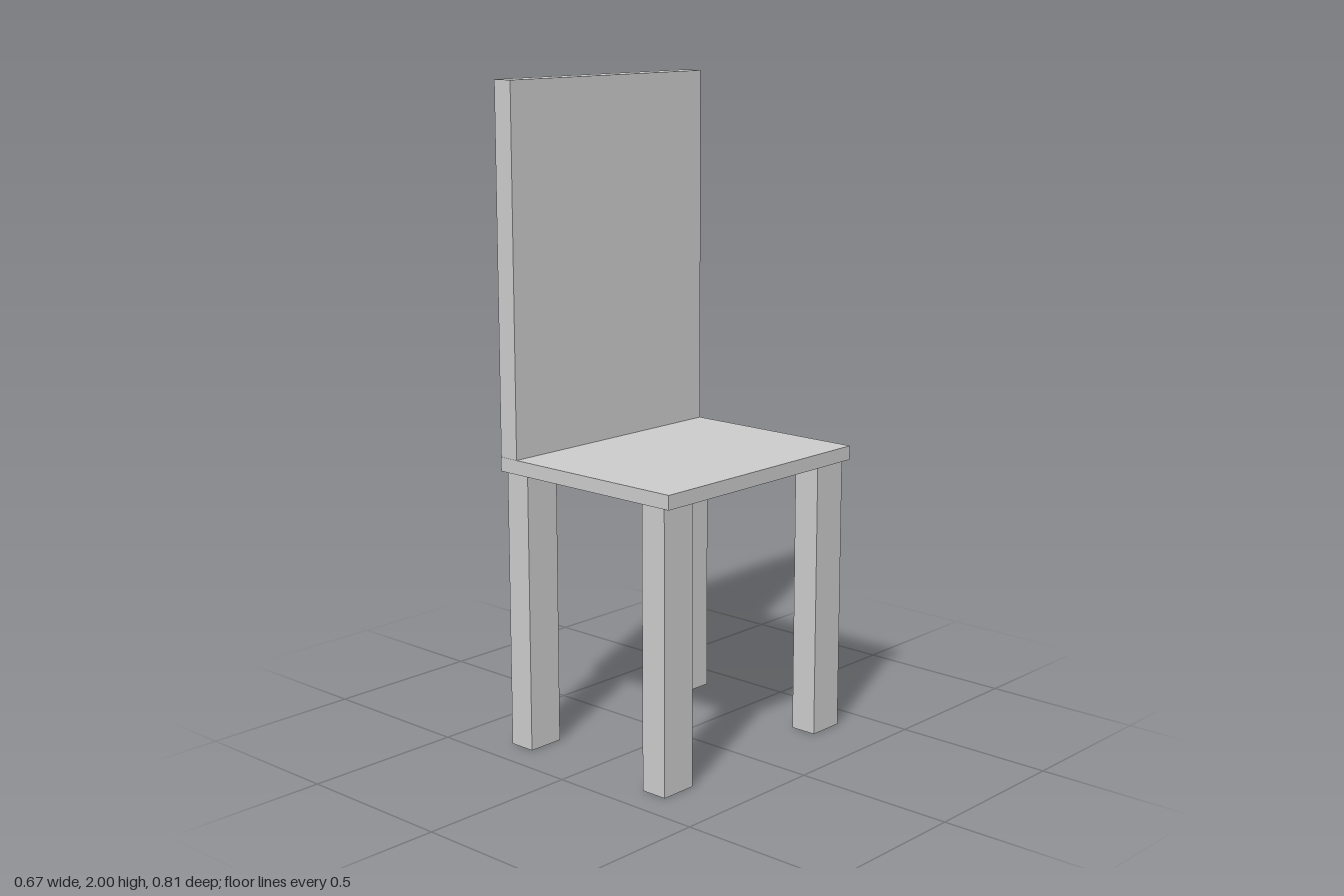
import * as THREE from 'three';

const material = new THREE.MeshStandardMaterial({ color: 0xcccccc, flatShading: true });

// Box given by its extents along each axis
function block(name, [x0, x1], [y0, y1], [z0, z1]) {
  const mesh = new THREE.Mesh(new THREE.BoxGeometry(x1 - x0, y1 - y0, z1 - z0), material);
  mesh.position.set((x0 + x1) / 2, (y0 + y1) / 2, (z0 + z1) / 2);
  mesh.name = name;
  return mesh;
}

export function createModel() {
  const chair = new THREE.Group();
  chair.name = 'chair';

  const halfX = 0.337, halfZ = 0.406;
  const seatBottom = 0.852, seatTop = 0.895;

  // Seat slab, with the tall backrest standing on its -x edge
  chair.add(block('seat', [-halfX, halfX], [seatBottom, seatTop], [-halfZ, halfZ]));
  chair.add(block('backrest', [-halfX, -0.271], [seatTop, 2], [-halfZ + 0.001, halfZ - 0.001]));

  // Four legs, rectangular in section, slightly inset from the seat edges
  const legX = { back: -0.272, front: 0.273 };
  const legZ = { Right: 0.342, Left: -0.337 };
  for (const [end, x] of Object.entries(legX)) {
    for (const [side, z] of Object.entries(legZ)) {
      chair.add(block(`${end}${side}Leg`, [x - 0.0425, x + 0.0425], [0, seatBottom], [z - 0.059, z + 0.059]));
    }
  }
  return chair;
}
